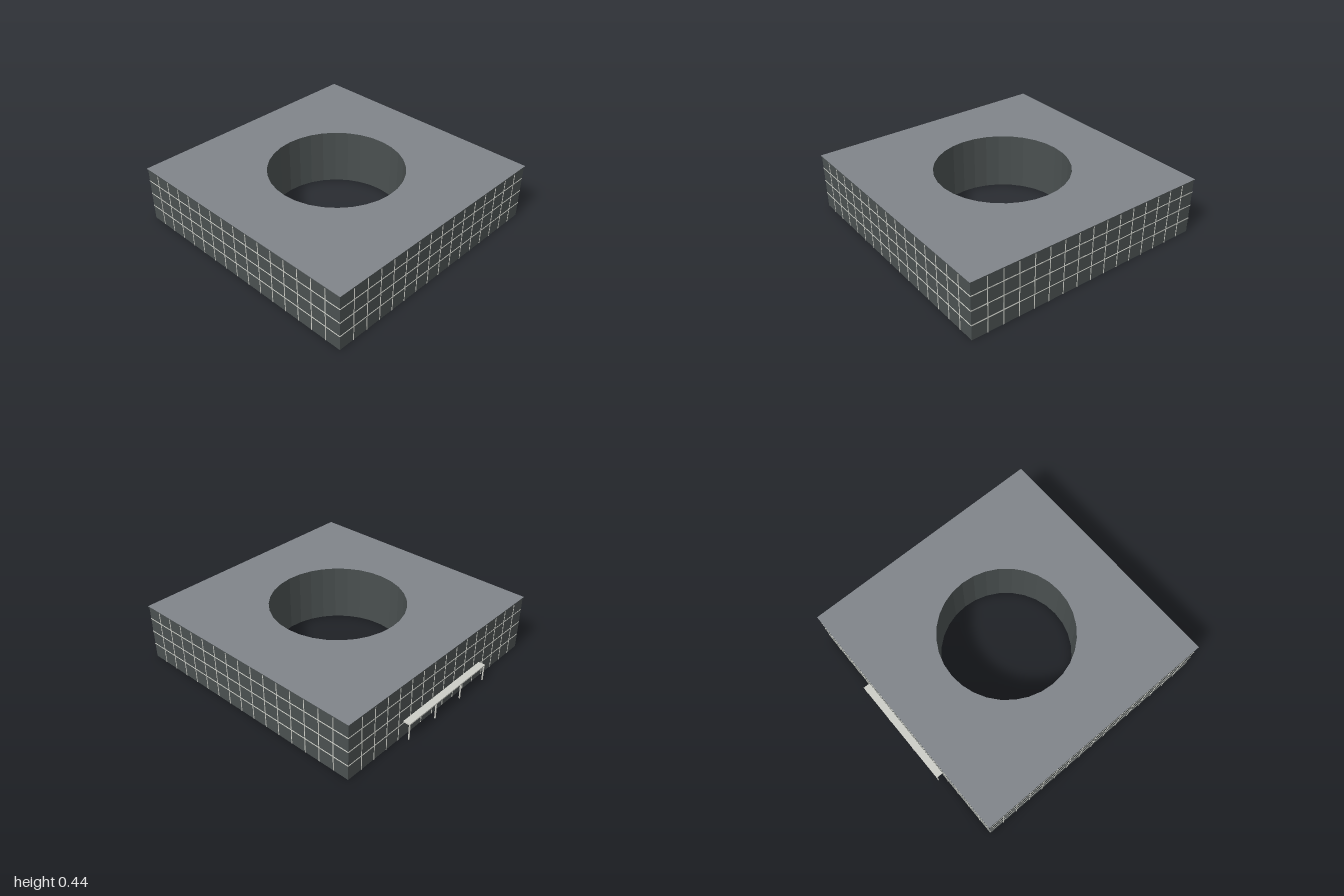
import * as THREE from 'three';

const HALF = 0.97;      // half width of the square block
const TOP = 0.432;      // wall height under the roof slab
const RADIUS = 0.507;   // courtyard radius
const SIDES = 32;
const CENTRE_Z = 0.023;

export function createModel() {
  const glass = new THREE.MeshStandardMaterial({ color: 0x4a5050, side: THREE.DoubleSide, flatShading: true });
  glass.name = 'dark glass';
  const roofGrey = new THREE.MeshStandardMaterial({ color: 0x80848a });
  roofGrey.name = 'roof grey';
  const pale = new THREE.MeshStandardMaterial({ color: 0xcccdc6 });
  pale.name = 'pale frame';

  const model = new THREE.Group();
  model.name = 'courtyardBuilding';
  const block = new THREE.Group();
  block.name = 'block';
  block.position.z = CENTRE_Z;
  model.add(block);

  function add(parent, name, geometry, material, x = 0, y = 0, z = 0) {
    const mesh = new THREE.Mesh(geometry, material);
    mesh.name = name;
    mesh.position.set(x, y, z);
    parent.add(mesh);
    return mesh;
  }

  // Four facades: thin glass wall with a 16 by 4 grid of frame bars
  const wallGeo = new THREE.PlaneGeometry(HALF * 2, TOP);
  const postGeo = new THREE.BoxGeometry(0.006, TOP, 0.005);
  const railGeo = new THREE.BoxGeometry(HALF * 2, 0.006, 0.005);
  for (let s = 0; s < 4; s++) {
    const facade = new THREE.Group();
    facade.name = 'facade';
    facade.rotation.y = s * Math.PI / 2;
    block.add(facade);
    add(facade, 'glassWall', wallGeo, glass, 0, TOP / 2, HALF);
    for (let i = 1; i < 16; i++) {
      add(facade, 'mullion', postGeo, pale, -HALF + i * HALF / 8, TOP / 2, HALF);
    }
    for (let j = 1; j < 4; j++) {
      add(facade, 'transom', railGeo, pale, 0, 0.005 + j * 0.11, HALF);
    }
  }

  // Roof slab with the round opening
  const e = 0.976;
  const shape = new THREE.Shape();
  shape.moveTo(-e, -e).lineTo(e, -e).lineTo(e, e).lineTo(-e, e).closePath();
  const hole = new THREE.Path();
  hole.absarc(0, 0, RADIUS, 0, Math.PI * 2, true);
  shape.holes.push(hole);
  const roofGeo = new THREE.ExtrudeGeometry(shape, { depth: 0.008, bevelEnabled: false, curveSegments: SIDES / 2 });
  roofGeo.rotateX(-Math.PI / 2);
  add(block, 'roof', roofGeo, [roofGrey, glass], 0, TOP, 0);

  // Courtyard wall, open above and below
  const ringGeo = new THREE.CylinderGeometry(RADIUS, RADIUS, TOP, SIDES, 1, true);
  add(block, 'courtyardWall', ringGeo, glass, 0, TOP / 2, 0);

  // Radial partitions from the courtyard wall to the facades
  for (let i = 0; i < SIDES; i++) {
    const a = i / SIDES * Math.PI * 2;
    const c = Math.cos(a), s = Math.sin(a);
    const outer = (HALF - 0.004) / Math.max(Math.abs(c), Math.abs(s));
    const mid = (RADIUS + outer) / 2;
    const fin = add(block, 'partition', new THREE.PlaneGeometry(outer - RADIUS, TOP), glass, c * mid, TOP / 2, s * mid);
    fin.rotation.y = -a;
  }

  // Entrance canopy on four slim posts at the back
  const canopy = new THREE.Group();
  canopy.name = 'canopy';
  model.add(canopy);
  add(canopy, 'canopySlab', new THREE.BoxGeometry(0.876, 0.01, 0.053), pale, 0, 0.127, -0.9735);
  const legGeo = new THREE.BoxGeometry(0.008, 0.122, 0.008);
  for (let i = 0; i < 4; i++) {
    add(canopy, 'canopyPost', legGeo, pale, -0.432 + i * 0.288, 0.061, -0.995);
  }

  return model;
}
